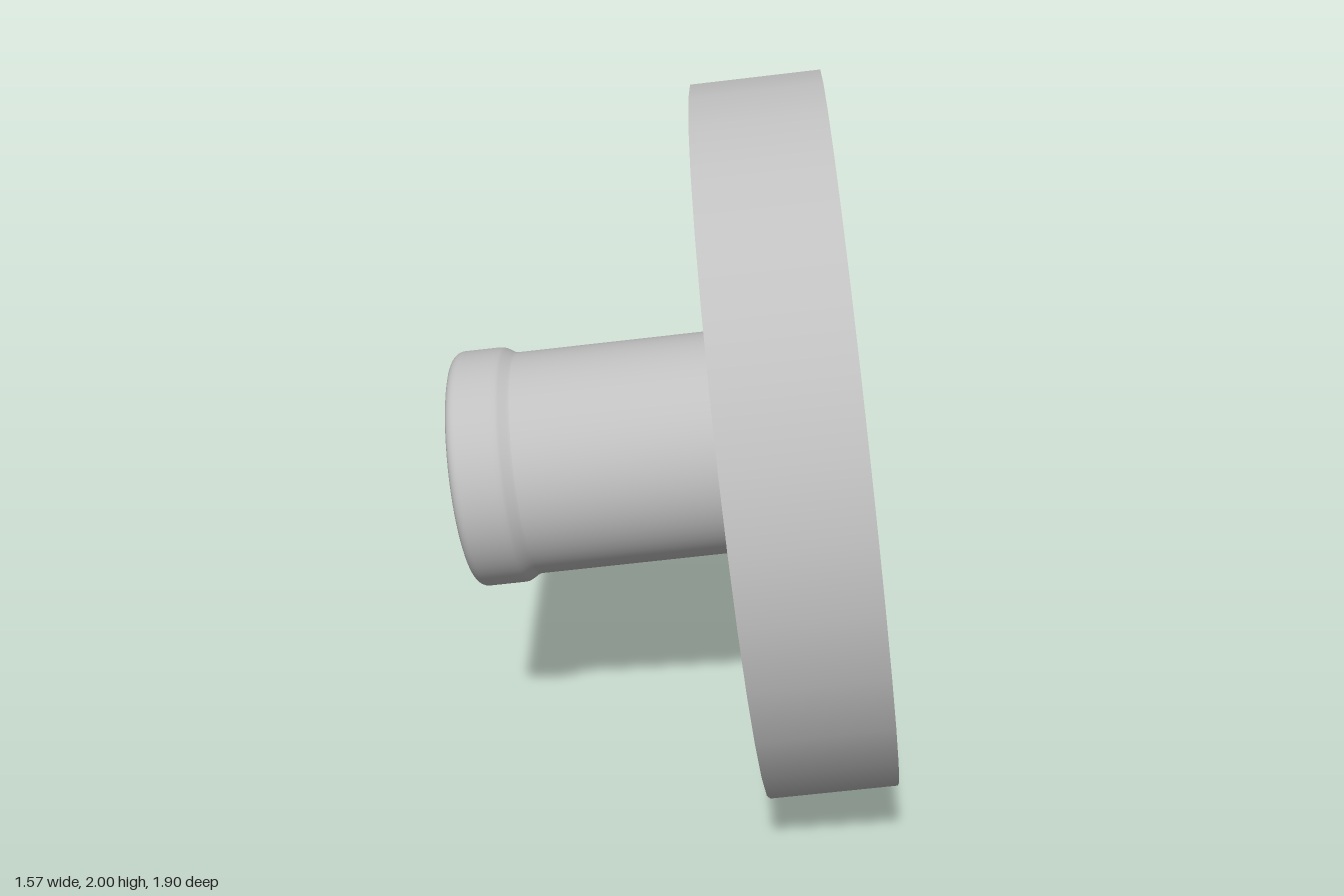
import * as THREE from 'three';

const DISC_R = 0.985, DISC_H = 0.347;
const STEM_R = 0.31, LIP_R = 0.329, FACE_R = 0.3, LENGTH = 0.745;

export function createModel() {
  const grey = new THREE.MeshStandardMaterial({ color: 0xc0c0c0 });
  grey.name = 'grey';
  const model = new THREE.Group();
  model.name = 'tiltedKnob';

  const add = (name, geometry, y) => {
    const mesh = new THREE.Mesh(geometry, grey);
    mesh.name = name;
    mesh.position.y = y;
    model.add(mesh);
  };

  // Large round plate, its front face at local y = 0
  add('disc', new THREE.CylinderGeometry(DISC_R, DISC_R, DISC_H, 32), -DISC_H / 2);

  // Straight stem
  add('stem', new THREE.CylinderGeometry(STEM_R, STEM_R, 0.6, 64, 1, true), 0.28);

  // Raised lip: flared shoulder, straight band, rounded edge
  const profile = [[STEM_R, 0.572], [0.313, 0.58], [0.324, 0.598], [0.328, 0.607], [LIP_R, 0.62]]
    .map(([r, y]) => new THREE.Vector2(r, y));
  const round = LIP_R - FACE_R;
  for (let i = 0; i <= 8; i++) {
    const a = (i / 8) * Math.PI / 2;
    profile.push(new THREE.Vector2(FACE_R + round * Math.cos(a), LENGTH - round + round * Math.sin(a)));
  }
  add('lip', new THREE.LatheGeometry(profile, 64), 0);

  // Flat end of the knob
  const face = new THREE.CircleGeometry(FACE_R, 64);
  face.rotateX(-Math.PI / 2);
  add('endFace', face, LENGTH);

  // Tilt the whole part so local y follows the knob's axis
  const axis = new THREE.Vector3(-0.88, -0.115, 0.461).normalize();
  const level = new THREE.Vector3(-axis.z, 0, axis.x).normalize().negate();
  const upright = new THREE.Vector3().crossVectors(axis, level);
  const turn = 0.185;
  const zDir = level.multiplyScalar(Math.cos(turn)).addScaledVector(upright, Math.sin(turn));
  const xDir = new THREE.Vector3().crossVectors(axis, zDir);
  model.quaternion.setFromRotationMatrix(new THREE.Matrix4().makeBasis(xDir, axis, zDir));
  model.position.set(0.0175, 0.98, 0.08);

  const root = new THREE.Group();
  root.name = 'knob';
  root.add(model);
  return root;
}
